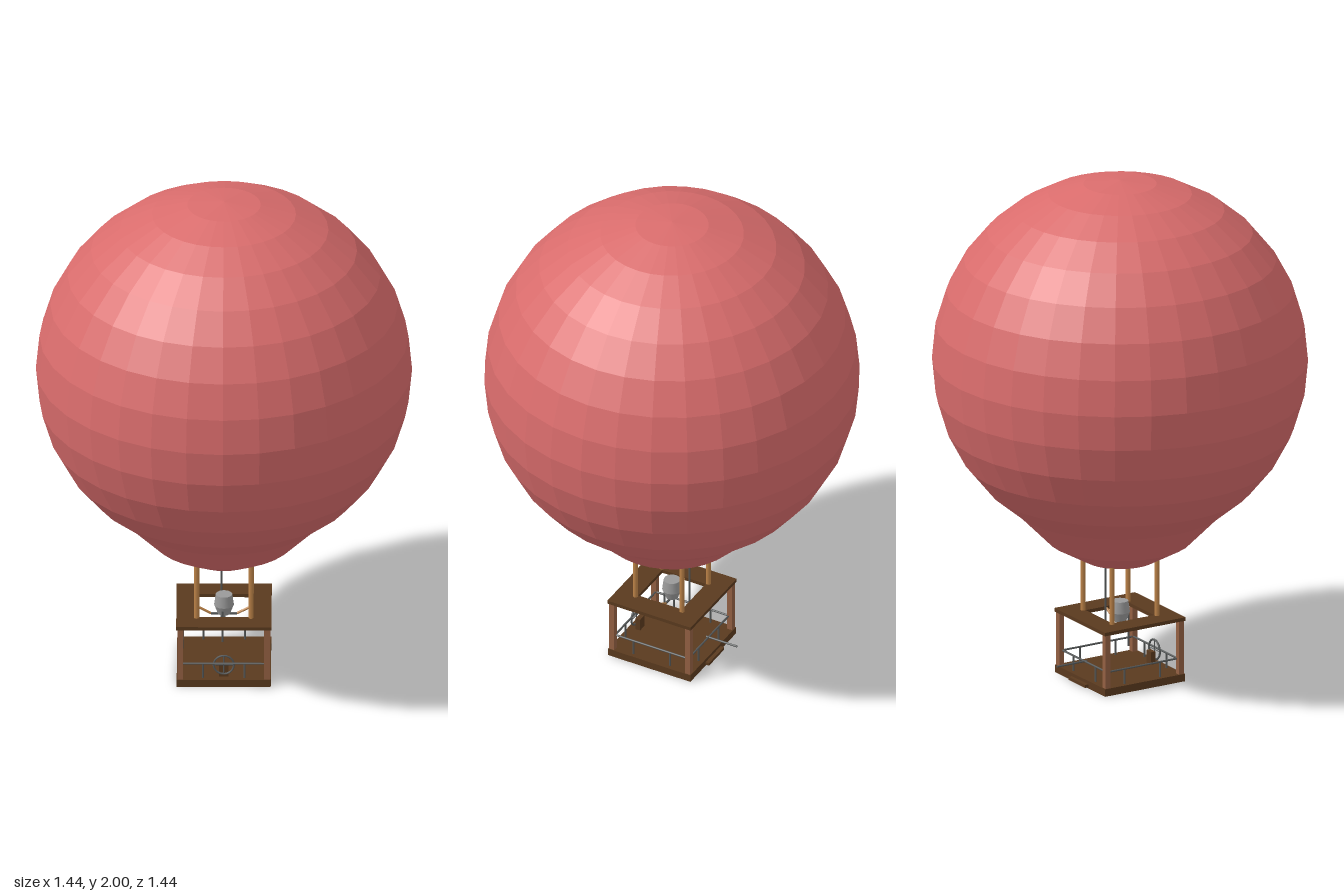
import * as THREE from 'three';

const mat = (color) => new THREE.MeshStandardMaterial({ color });
const red = mat(0xd96c6c), darkWood = mat(0x5a3a1e), postWood = mat(0x946043);
const lightWood = mat(0xbd8348), iron = mat(0x555858), steel = mat(0x9a9a9a);
red.flatShading = true;
red.side = THREE.DoubleSide;

export function createModel() {
  const model = new THREE.Group();

  const add = (name, geometry, material, x = 0, y = 0, z = 0) => {
    const mesh = new THREE.Mesh(geometry, material);
    mesh.name = name;
    mesh.position.set(x, y, z);
    model.add(mesh);
    return mesh;
  };

  // Round bar between two points
  const bar = (name, a, b, radius, material) => {
    const from = new THREE.Vector3(...a), to = new THREE.Vector3(...b);
    const dir = to.clone().sub(from);
    const mesh = add(name, new THREE.CylinderGeometry(radius, radius, dir.length(), 8), material);
    mesh.position.copy(from).add(to).multiplyScalar(0.5);
    mesh.quaternion.setFromUnitVectors(new THREE.Vector3(0, 1, 0), dir.normalize());
    return mesh;
  };

  // Envelope: a sphere whose last rings are drawn down into a neck
  const profile = [];
  for (let i = 0; i <= 16; i++) {
    const a = Math.PI * (1 - i / 16);
    const drop = [0.1, 0.095, 0.06][i] ?? 0;
    profile.push(new THREE.Vector2(Math.max(0, 0.72 * Math.sin(a)), 1.28 + 0.72 * Math.cos(a) - drop));
  }
  add('envelope', new THREE.LatheGeometry(profile, 32), red);

  // Basket floor and rear step
  add('floor', new THREE.BoxGeometry(0.36, 0.03, 0.36), darkWood, 0, 0.015, 0);
  add('rearStep', new THREE.BoxGeometry(0.12, 0.012, 0.02), darkWood, 0, 0.011, -0.185);

  // Top frame with a square opening
  const square = (shape, s) => shape.moveTo(-s, -s).lineTo(s, -s).lineTo(s, s).lineTo(-s, s).closePath();
  const frame = square(new THREE.Shape(), 0.182);
  frame.holes.push(square(new THREE.Path(), 0.095));
  const frameGeometry = new THREE.ExtrudeGeometry(frame, { depth: 0.014, bevelEnabled: false });
  frameGeometry.rotateX(-Math.PI / 2);
  add('topFrame', frameGeometry, darkWood, 0, 0.244, 0);

  // Corner posts and the poles that reach the envelope
  for (const x of [-1, 1]) for (const z of [-1, 1]) {
    add('cornerPost', new THREE.BoxGeometry(0.022, 0.22, 0.022), postWood, x * 0.166, 0.137, z * 0.166);
    bar('envelopePole', [x * 0.104, 0.25, z * 0.102], [x * 0.104, 0.49, z * 0.102], 0.01, lightWood);
  }

  // Low rails on the four sides
  for (let i = 0; i < 4; i++) {
    const c = Math.round(Math.cos(i * Math.PI / 2)), s = Math.round(Math.sin(i * Math.PI / 2));
    const at = (u, y) => [u * c + 0.16 * s, y, 0.16 * c - u * s];
    bar('rail', at(-0.16, 0.09), at(0.16, 0.09), 0.004, iron);
    for (const u of [-0.08, 0.08]) bar('railSupport', at(u, 0.03), at(u, 0.09), 0.004, iron);
  }
  bar('rearBoom', [0, 0.09, -0.15], [0, 0.09, -0.285], 0.004, iron);

  // Steering wheel and its stand
  add('wheelStand', new THREE.BoxGeometry(0.035, 0.05, 0.02), darkWood, 0, 0.055, 0.14);
  add('steeringWheel', new THREE.TorusGeometry(0.039, 0.004, 6, 20), iron, 0, 0.083, 0.156);
  for (let i = 0; i < 2; i++) {
    const a = i * Math.PI / 2, x = 0.038 * Math.cos(a), y = 0.038 * Math.sin(a);
    bar('wheelSpoke', [-x, 0.083 - y, 0.156], [x, 0.083 + y, 0.156], 0.002, iron);
  }

  // Burner, its cradle and the pull cords
  add('burner', new THREE.CylinderGeometry(0.032, 0.038, 0.045, 12), steel, 0, 0.285, 0);
  add('burnerBase', new THREE.CylinderGeometry(0.038, 0.024, 0.037, 12), steel, 0, 0.244, 0);
  for (const x of [-1, 1]) {
    bar('cradleArm', [x * 0.1, 0.252, 0], [x * 0.05, 0.225, 0], 0.005, lightWood);
  }
  bar('cradleBar', [-0.05, 0.225, 0], [0.05, 0.225, 0], 0.005, iron);
  bar('burnerHandle', [-0.005, 0.12, 0.035], [-0.005, 0.25, 0.035], 0.004, iron);
  bar('ventCord', [-0.01, 0.12, -0.072], [-0.01, 0.5, -0.072], 0.004, iron);

  return model;
}
